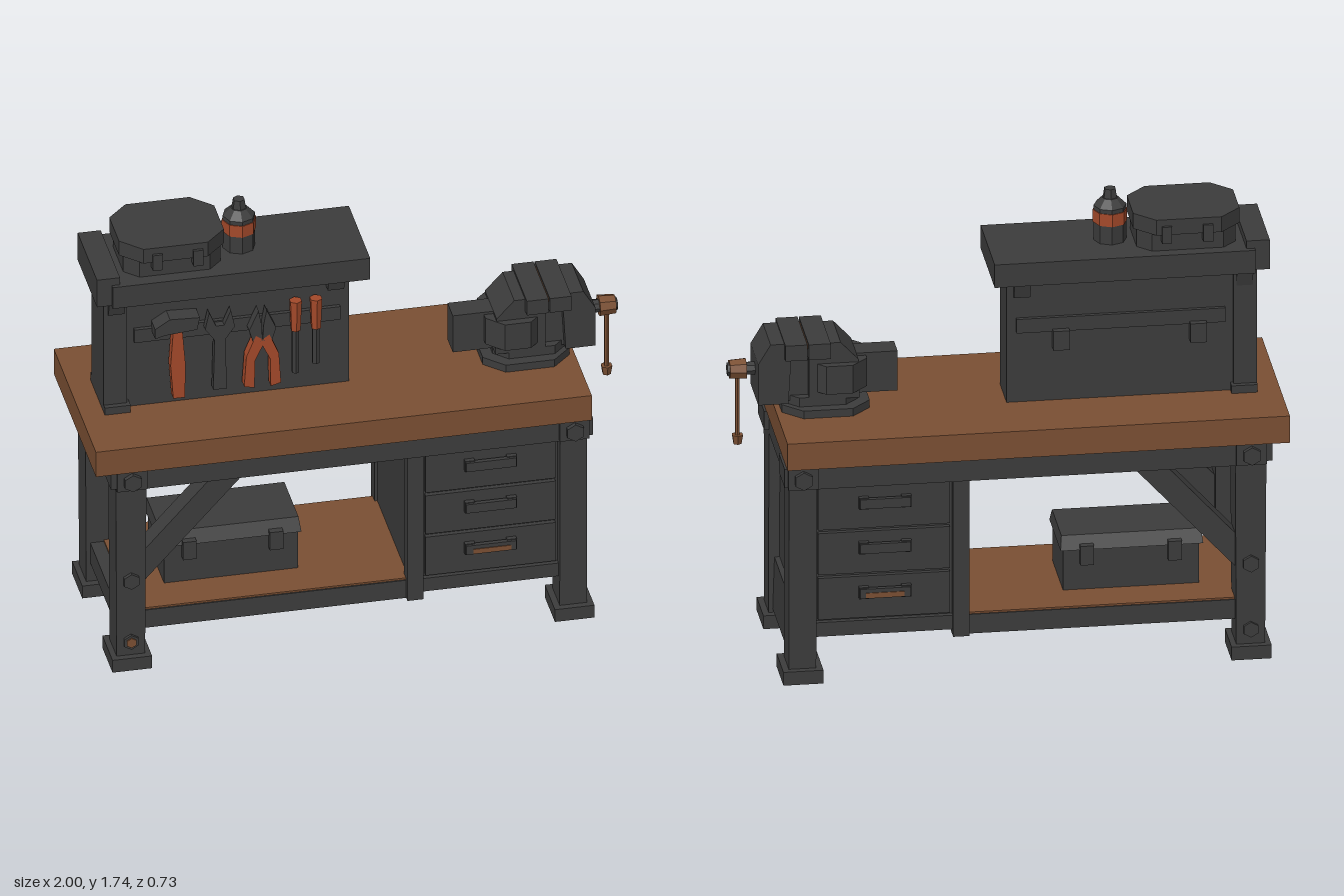
import * as THREE from 'three';
import { toCreasedNormals } from 'three/addons/utils/BufferGeometryUtils.js';

const paint = (name, color) => {
  const m = new THREE.MeshStandardMaterial({ color });
  m.name = name;
  return m;
};

export function createModel() {
  const iron = paint('dark iron', 0x3c3c3c);
  const wood = paint('brown wood', 0x7a4f33);
  const grip = paint('orange grip', 0xa3492a);
  const root = new THREE.Group();
  root.name = 'workbench';

  const add = (name, geo, mat, parent = root) => {
    const m = new THREE.Mesh(geo, mat);
    m.name = name;
    parent.add(m);
    return m;
  };
  const group = (name) => {
    const g = new THREE.Group();
    g.name = name;
    root.add(g);
    return g;
  };
  // Box from its limits; the top can be inset in x and z
  const box = (name, mat, [x0, x1], [y0, y1], [z0, z1], parent, insetX = 0, insetZ = 0) => {
    const w = x1 - x0, d = z1 - z0;
    const g = new THREE.BoxGeometry(w, y1 - y0, d);
    const p = g.attributes.position;
    for (let i = 0; i < p.count; i++) if (p.getY(i) > 0) {
      p.setX(i, p.getX(i) * (1 - 2 * insetX / w));
      p.setZ(i, p.getZ(i) * (1 - 2 * insetZ / d));
    }
    g.translate((x0 + x1) / 2, (y0 + y1) / 2, (z0 + z1) / 2);
    return add(name, toCreasedNormals(g, 0.1), mat, parent);
  };
  const shapeOf = (pts) => new THREE.Shape(pts.map(([a, b]) => new THREE.Vector2(a, b)));
  // Outline in x and y, extruded along z
  const slab = (name, mat, pts, z0, z1, parent) => {
    const g = new THREE.ExtrudeGeometry(shapeOf(pts), { depth: z1 - z0, bevelEnabled: false });
    return add(name, g.translate(0, 0, z0), mat, parent);
  };
  // Octagonal plan with cut corners, extruded along y
  const octagon = (name, mat, x0, x1, y0, y1, z, c, parent) => {
    const pts = [[x0 + c, -z], [x1 - c, -z], [x1, -z + c], [x1, z - c],
      [x1 - c, z], [x0 + c, z], [x0, z - c], [x0, -z + c]];
    const g = new THREE.ExtrudeGeometry(shapeOf(pts), { depth: y1 - y0, bevelEnabled: false });
    return add(name, g.rotateX(-Math.PI / 2).translate(0, y0, 0), mat, parent);
  };
  // Faceted cylinder centred at a point along an axis
  const rod = (name, mat, r0, r1, len, [x, y, z], axis = 'y', parent, sides = 8) => {
    const g = new THREE.CylinderGeometry(r1, r0, len, sides);
    if (axis === 'x') g.rotateZ(-Math.PI / 2);
    if (axis === 'z') g.rotateX(Math.PI / 2);
    return add(name, toCreasedNormals(g.translate(x, y, z), 0.3), mat, parent);
  };
  // Range on the front (s = 1) or mirrored to the back (s = -1)
  const side = (s, a, b) => (s > 0 ? [a, b] : [-b, -a]);

  // Table top and apron
  box('tableTop', wood, [-1, 0.83], [0.85, 0.955], [-0.36, 0.36]);
  box('apron', iron, [-0.92, 0.82], [0.76, 0.85], [-0.335, 0.335]);

  // Legs, feet, bolts and corner plates
  for (const s of [-1, 1]) {
    for (const [x0, x1] of [[-0.915, -0.81], [0.72, 0.82]]) {
      const g = group('leg');
      const mid = (x0 + x1) / 2;
      const out = x0 < 0 ? [-0.94, -0.91] : [0.81, 0.838];
      box('legPost', iron, [x0, x1], [0.05, 0.77], side(s, 0.2, 0.32), g, x0 < 0 ? -0.004 : 0, -0.006);
      box('foot', iron, [mid - 0.073, mid + 0.073], [0, 0.052], side(s, 0.172, 0.345), g);
      box('cornerPlate', iron, [mid - 0.055, mid + 0.055], [0.765, 0.848], side(s, 0.33, 0.347), g);
      box('endPlate', iron, out, [0.775, 0.848], side(s, 0.19, 0.34), g);
      rod('cornerBolt', iron, 0.035, 0.035, 0.025, [mid, 0.805, s * 0.352], 'z', g, 6);
      if (x0 < 0) {
        rod('legBolt', iron, 0.032, 0.032, 0.02, [mid, 0.37, s * 0.327], 'z', g, 6);
        rod('lowerBolt', iron, 0.03, 0.03, 0.02, [mid, 0.11, s * 0.322], 'z', g, 6);
      }
    }
    // Diagonal brace
    slab('brace', iron, [[-0.82, 0.34], [-0.43, 0.77], [-0.55, 0.77], [-0.82, 0.47]],
      s * 0.265 - 0.04, s * 0.265 + 0.04);
    box('shelfRail', iron, [-0.82, 0.2], [0.14, 0.215], [s * 0.26 - 0.03, s * 0.26 + 0.03]);
  }
  rod('boltFace', wood, 0.02, 0.02, 0.006, [-0.8625, 0.11, 0.334], 'z', root, 6);

  // Lower shelf and left cross rail
  box('lowerShelf', iron, [-0.86, 0.2], [0.175, 0.212], [-0.28, 0.28]);
  box('shelfBoard', wood, [-0.85, 0.18], [0.212, 0.222], [-0.285, 0.285]);
  box('crossRail', iron, [-0.9, -0.83], [0.13, 0.215], [-0.22, 0.22]);

  // Cabinet with drawers on both long sides
  const cabinet = group('cabinet');
  box('cabinetBody', iron, [0.17, 0.76], [0.17, 0.77], [-0.28, 0.28], cabinet);
  box('sidePanel', iron, [0.74, 0.78], [0.25, 0.77], [-0.22, 0.22], cabinet);
  box('sideRail', iron, [0.74, 0.805], [0.065, 0.27], [-0.22, 0.22], cabinet, 0.006);
  for (const s of [-1, 1]) {
    box('cabinetPost', iron, [0.16, 0.22], [0.14, 0.77], side(s, 0.25, 0.312), cabinet);
    box('bottomRail', iron, [0.22, 0.73], [0.165, 0.22], side(s, 0.25, 0.3), cabinet);
    for (let i = 0; i < 3; i++) {
      const y = 0.23 + i * 0.176;
      box('drawerFront', iron, [0.23, 0.71], [y, y + 0.163], side(s, 0.27, 0.298), cabinet);
      for (const x of [0.39, 0.545])
        box('handleMount', iron, [x - 0.018, x + 0.018], [y + 0.08, y + 0.125], side(s, 0.29, 0.316), cabinet);
      box('handle', iron, [0.375, 0.56], [y + 0.085, y + 0.122], side(s, 0.308, 0.325), cabinet);
    }
    box('handleStripe', wood, [0.4, 0.54], [0.318, 0.337], side(s, 0.324, 0.328), cabinet);
  }

  // Tool board with top shelf
  const board = group('toolBoard');
  box('boardPanel', iron, [-0.84, -0.005], [0.95, 1.46], [-0.095, 0.078], board);
  box('boardPost', iron, [-0.915, -0.83], [0.95, 1.46], [-0.11, 0.1], board);
  box('boardFoot', iron, [-0.915, -0.82], [0.95, 0.985], [-0.13, 0.12], board);
  box('topShelf', iron, [-0.9, 0.05], [1.445, 1.535], [-0.18, 0.185], board);
  box('shelfEnd', iron, [-0.955, -0.87], [1.45, 1.565], [-0.16, 0.17], board);
  for (const s of [-1, 1]) {
    const face = s > 0 ? 0.078 : -0.095;
    box('toolRail', iron, [-0.8, -0.04], [1.23, 1.285], [face - 0.015, face + 0.015], board);
    for (const x of [-0.87, -0.06])
      box('shelfBracket', iron, [x - 0.03, x + 0.03], [1.37, 1.45],
        side(s, 0.07, 0.11), board, 0, -0.02);
  }
  for (const x of [-0.7, -0.2])
    box('backClip', iron, [x - 0.03, x + 0.03], [1.165, 1.24], [-0.135, -0.09], board);

  // Hanging tools
  const tools = group('hangingTools');
  slab('hammerHead', iron, [[-0.735, 1.27], [-0.7, 1.28], [-0.58, 1.29], [-0.57, 1.34],
    [-0.68, 1.345], [-0.735, 1.31]], 0.08, 0.145, tools);
  slab('hammerHandle', grip, [[-0.665, 1.0], [-0.622, 1.0], [-0.62, 1.14], [-0.632, 1.29],
    [-0.665, 1.29], [-0.675, 1.14]], 0.095, 0.132, tools);
  slab('wrench', iron, [[-0.515, 1.01], [-0.465, 1.01], [-0.47, 1.22], [-0.435, 1.27], [-0.45, 1.34],
    [-0.475, 1.28], [-0.505, 1.28], [-0.53, 1.34], [-0.545, 1.27], [-0.51, 1.22]], 0.09, 0.12, tools);
  for (const s of [-1, 1]) {
    const at = (pts) => (s > 0 ? pts : pts.slice().reverse()).map(([x, y]) => [-0.335 + s * x, y]);
    slab('pliersHandle', grip, at([[0.03, 1.005], [0.068, 1.015], [0.06, 1.14], [0.025, 1.225],
      [-0.01, 1.2], [0.028, 1.12]]), 0.09, 0.13, tools);
    slab('pliersJaw', iron, at([[0, 1.2], [0.035, 1.2], [0.05, 1.25], [0.015, 1.33], [0.004, 1.27]]),
      0.09, 0.13, tools);
  }
  for (const [x, low] of [[-0.21, 1.04], [-0.135, 1.07]]) {
    rod('screwdriverHandle', grip, 0.019, 0.024, 0.125, [x, 1.285, 0.113], 'y', tools, 6);
    rod('screwdriverShaft', iron, 0.014, 0.014, 1.23 - low, [x, (1.23 + low) / 2, 0.108], 'y', tools, 6);
  }

  // Upper case
  const upper = group('upperCase');
  octagon('caseBody', iron, -0.84, -0.48, 1.53, 1.61, 0.135, 0.05, upper);
  octagon('caseLid', iron, -0.855, -0.468, 1.605, 1.665, 0.157, 0.075, upper);
  for (const s of [-1, 1]) for (const x of [-0.73, -0.58])
    box('caseLatch', iron, [x - 0.018, x + 0.018], [1.575, 1.64], [s * 0.15 - 0.018, s * 0.15 + 0.018], upper);

  // Spray can
  const can = group('sprayCan');
  rod('canBody', iron, 0.06, 0.06, 0.14, [-0.395, 1.6, 0], 'y', can);
  rod('canBand', grip, 0.063, 0.063, 0.048, [-0.395, 1.63, 0], 'y', can);
  rod('canShoulder', iron, 0.06, 0.03, 0.03, [-0.395, 1.685, 0], 'y', can);
  rod('canNozzle', iron, 0.028, 0.022, 0.04, [-0.395, 1.715, 0], 'y', can, 6);

  // Lower toolbox
  const chest = group('lowerToolbox');
  box('chestBody', iron, [-0.7, -0.205], [0.22, 0.39], [-0.135, 0.135], chest);
  box('chestLid', iron, [-0.715, -0.195], [0.38, 0.43], [-0.145, 0.145], chest, 0.006, 0.025);
  for (const s of [-1, 1]) for (const x of [-0.61, -0.29])
    box('chestLatch', iron, [x - 0.025, x + 0.025], [0.325, 0.4], [s * 0.145 - 0.015, s * 0.145 + 0.015], chest);

  // Vise
  const vise = group('vise');
  octagon('viseBase', iron, 0.49, 0.81, 0.95, 0.985, 0.14, 0.07, vise);
  octagon('viseNeck', iron, 0.53, 0.8, 0.975, 1.02, 0.1, 0.05, vise);
  box('viseSlide', iron, [0.385, 0.82], [1.005, 1.16], [-0.045, 0.045], vise);
  slab('fixedJaw', iron, [[0.53, 1.01], [0.715, 1.01], [0.715, 1.23], [0.6, 1.23], [0.535, 1.16]], -0.1, 0.1, vise);
  octagon('fixedJawBlock', iron, 0.5, 0.715, 1.04, 1.15, 0.13, 0.06, vise);
  slab('movingJaw', iron, [[0.79, 1.0], [0.9, 1.0], [0.9, 1.16], [0.855, 1.235], [0.78, 1.235], [0.78, 1.18]],
    -0.1, 0.1, vise);
  for (const x of [0.64, 0.725])
    box('jawPlate', iron, [x, x + 0.08], [1.18, 1.24], [-0.13, 0.13], vise);
  box('jawLiner', wood, [0.69, 0.728], [1.215, 1.23], [-0.11, 0.11], vise);
  box('slideCover', iron, [0.71, 0.8], [1.0, 1.17], [-0.07, 0.07], vise);
  rod('viseScrew', iron, 0.025, 0.025, 0.08, [0.92, 1.105, 0], 'x', vise);
  rod('screwCap', wood, 0.04, 0.036, 0.06, [0.962, 1.105, 0], 'x', vise);
  rod('screwTip', iron, 0.028, 0.024, 0.015, [0.9925, 1.105, 0], 'x', vise, 6);
  rod('screwHandle', wood, 0.009, 0.009, 0.26, [0.962, 0.96, 0], 'y', vise, 6);
  rod('handleKnob', wood, 0.016, 0.022, 0.035, [0.962, 0.83, 0], 'y', vise, 6);

  return root;
}
